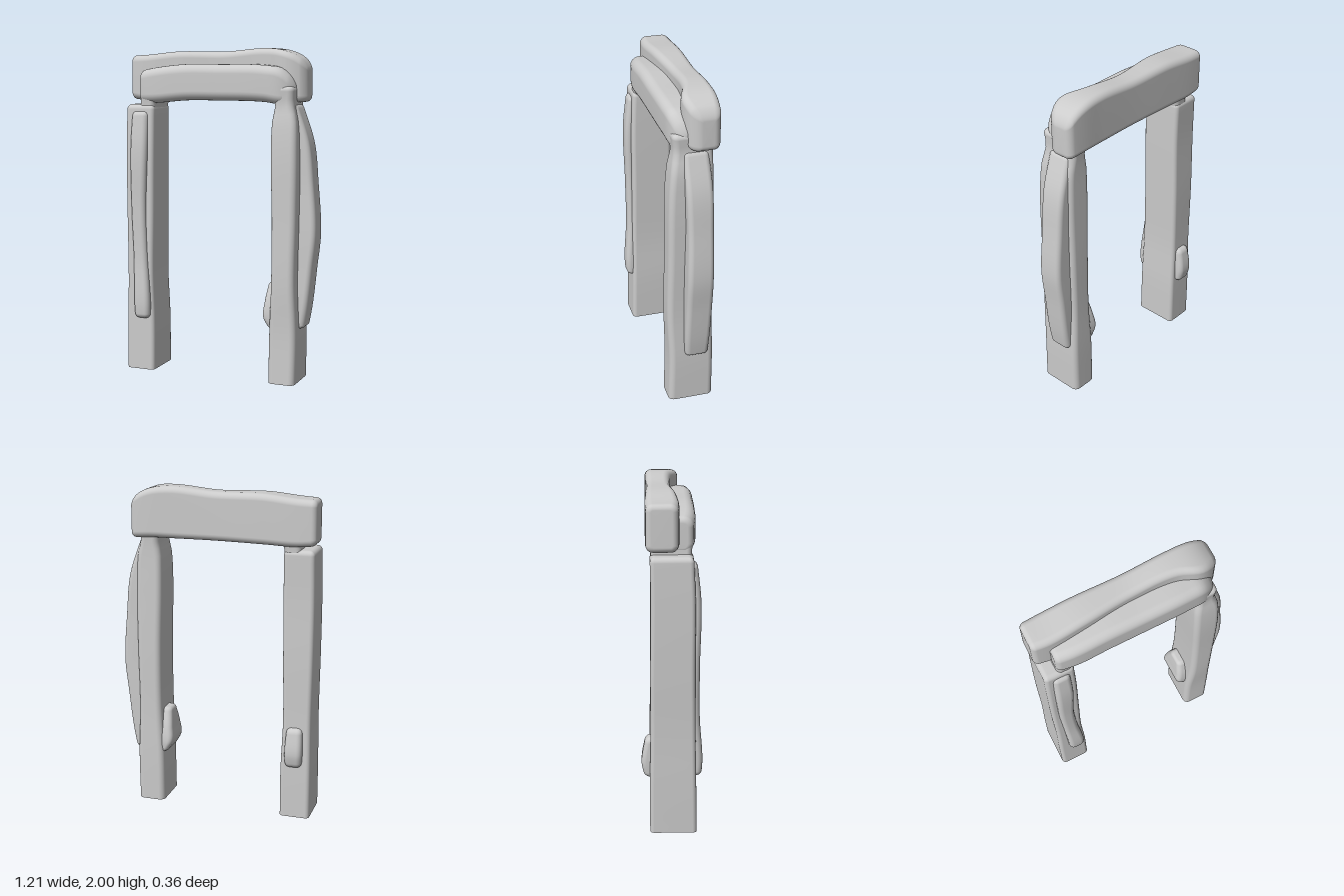
import * as THREE from 'three';

const stone = new THREE.MeshStandardMaterial({ color: 0xcccccc, side: THREE.DoubleSide });

// Rounded rectangle outline, counter-clockwise in (a, b)
function outline(a0, a1, b0, b1, radius, steps = 6) {
  const r = Math.min(radius, (a1 - a0) * 0.49, (b1 - b0) * 0.49);
  const corners = [[a1 - r, b1 - r], [a0 + r, b1 - r], [a0 + r, b0 + r], [a1 - r, b0 + r]];
  const pts = [];
  corners.forEach(([ca, cb], k) => {
    for (let s = 0; s <= steps; s++) {
      const t = (k + s / steps) * Math.PI / 2;
      pts.push([ca + r * Math.cos(t), cb + r * Math.sin(t)]);
    }
  });
  return pts;
}

// Smooth loft of rounded rectangles with rounded ends.
// axis 'y': rows are [y, z0, z1, x0, x1]; axis 'x': rows are [x, y0, y1, z0, z1]
function loft(name, axis, rows, { corner = 0.04, start = 0.03, end = 0.03 } = {}) {
  const spline = new THREE.CubicInterpolant(rows.map(r => r[0]), rows.flatMap(r => r.slice(1)), 4);
  const t0 = rows[0][0], t1 = rows[rows.length - 1][0];
  const place = (t, a, b) => (axis === 'y' ? [b, t, a] : [t, a, b]);

  // Stations: dense on the rounded ends, even between them
  const stations = [];
  const body = 40, cap = 6;
  for (let i = 0; i < cap && start; i++) {
    const u = i / cap * Math.PI / 2;
    stations.push([t0 + start * (1 - Math.cos(u)), start * (1 - Math.sin(u))]);
  }
  for (let i = 0; i <= body; i++) {
    stations.push([t0 + start + (t1 - end - t0 - start) * i / body, 0]);
  }
  for (let i = cap - 1; i >= 0 && end; i--) {
    const u = i / cap * Math.PI / 2;
    stations.push([t1 - end * (1 - Math.cos(u)), end * (1 - Math.sin(u))]);
  }

  const pos = [], index = [];
  let n = 0;
  const centres = [];
  for (const [t, inset] of stations) {
    const [a0, a1, b0, b1] = spline.evaluate(t);
    const ring = outline(a0 + inset, a1 - inset, b0 + inset, b1 - inset, Math.max(corner - inset, 0.01));
    n = ring.length;
    ring.forEach(([a, b]) => pos.push(...place(t, a, b)));
    centres.push(place(t, (a0 + a1) / 2, (b0 + b1) / 2));
  }
  const last = stations.length - 1;
  for (let i = 0; i < last; i++) {
    for (let j = 0; j < n; j++) {
      const p = i * n + j, q = i * n + (j + 1) % n;
      index.push(p, q, q + n, p, q + n, p + n);
    }
  }
  // End faces; a zero radius leaves the end open
  const c = pos.length / 3;
  pos.push(...centres[0], ...centres[last]);
  for (let j = 0; j < n; j++) {
    const k = (j + 1) % n;
    if (start) index.push(c, k, j);
    if (end) index.push(c + 1, last * n + j, last * n + k);
  }
  const geo = new THREE.BufferGeometry();
  geo.setAttribute('position', new THREE.Float32BufferAttribute(pos, 3));
  geo.setIndex(index);
  geo.computeVertexNormals();
  const mesh = new THREE.Mesh(geo, stone);
  mesh.name = name;
  return mesh;
}

export function createModel() {
  const model = new THREE.Group();
  model.name = 'stoneArch';

  // Right pillar with its neck, front strip and back knob
  const rightPillar = new THREE.Group();
  rightPillar.name = 'rightPillar';
  rightPillar.add(
    loft('rightShaft', 'y', [
      [0, -0.13, 0.145, -0.60, -0.415],
      [0.3, -0.13, 0.14, -0.60, -0.415],
      [0.6, -0.125, 0.135, -0.597, -0.425],
      [1.0, -0.125, 0.13, -0.602, -0.42],
      [1.4, -0.12, 0.13, -0.602, -0.415],
      [1.66, -0.125, 0.12, -0.598, -0.415],
    ], { corner: 0.025, start: 0, end: 0.03 }),
    loft('rightNeck', 'y', [
      [1.58, -0.12, 0.11, -0.525, -0.417],
      [1.66, -0.12, 0.11, -0.515, -0.414],
      [1.76, -0.13, 0.12, -0.51, -0.38],
    ], { corner: 0.03 }),
    loft('frontStrip', 'y', [
      [0.33, 0.0, 0.172, -0.535, -0.437],
      [0.42, 0.0, 0.178, -0.538, -0.435],
      [0.7, 0.0, 0.16, -0.548, -0.455],
      [1.0, 0.0, 0.158, -0.56, -0.465],
      [1.4, 0.0, 0.163, -0.56, -0.45],
      [1.62, 0.0, 0.14, -0.555, -0.45],
    ], { corner: 0.03 }),
    loft('backKnob', 'y', [
      [0.33, -0.16, 0, -0.55, -0.45],
      [0.42, -0.178, 0, -0.555, -0.448],
      [0.58, -0.155, 0, -0.55, -0.455],
    ], { corner: 0.03 }),
  );

  // Left pillar with its outer slab and inner knob
  const leftPillar = new THREE.Group();
  leftPillar.name = 'leftPillar';
  leftPillar.add(
    loft('leftShaft', 'y', [
      [0, -0.13, 0.145, 0.34, 0.507],
      [0.3, -0.13, 0.14, 0.342, 0.51],
      [0.6, -0.125, 0.15, 0.355, 0.50],
      [1.0, -0.125, 0.145, 0.355, 0.505],
      [1.4, -0.12, 0.14, 0.345, 0.505],
      [1.58, -0.118, 0.125, 0.348, 0.495],
      [1.67, -0.12, 0.11, 0.36, 0.475],
      [1.78, -0.13, 0.12, 0.33, 0.48],
    ], { corner: 0.035, start: 0 }),
    loft('outerSlab', 'y', [
      [0.33, -0.09, 0.05, 0.42, 0.535],
      [0.45, -0.095, 0.055, 0.42, 0.555],
      [0.7, -0.10, 0.055, 0.42, 0.582],
      [0.9, -0.10, 0.055, 0.42, 0.602],
      [1.2, -0.10, 0.05, 0.42, 0.583],
      [1.45, -0.10, 0.055, 0.42, 0.555],
      [1.68, -0.09, 0.06, 0.40, 0.48],
    ], { corner: 0.03, start: 0.02 }),
    loft('innerKnob', 'y', [
      [0.32, -0.11, 0.09, 0.325, 0.43],
      [0.39, -0.115, 0.10, 0.29, 0.43],
      [0.48, -0.10, 0.09, 0.295, 0.43],
      [0.6, -0.06, 0.05, 0.31, 0.43],
    ], { corner: 0.03, start: 0.02, end: 0.02 }),
  );

  // Lintel: tall block behind, lower ledge in front
  const lintel = new THREE.Group();
  lintel.name = 'lintel';
  lintel.add(
    loft('lintelBlock', 'x', [
      [-0.61, 1.69, 1.955, -0.145, 0.03],
      [-0.5, 1.68, 1.96, -0.15, 0.04],
      [-0.3, 1.685, 1.98, -0.15, 0.03],
      [0, 1.69, 1.98, -0.147, 0.0],
      [0.27, 1.69, 2.0, -0.15, 0.01],
      [0.4, 1.69, 1.985, -0.153, 0.05],
      [0.47, 1.685, 1.955, -0.15, 0.035],
      [0.525, 1.68, 1.91, -0.145, 0.0],
    ], { corner: 0.04, start: 0.03, end: 0.04 }),
    loft('frontLedge', 'x', [
      [-0.515, 1.665, 1.865, -0.1, 0.115],
      [-0.4, 1.67, 1.885, -0.1, 0.132],
      [-0.2, 1.688, 1.905, -0.1, 0.135],
      [0, 1.69, 1.905, -0.1, 0.135],
      [0.3, 1.685, 1.9, -0.1, 0.13],
      [0.4, 1.67, 1.88, -0.1, 0.118],
      [0.475, 1.67, 1.81, -0.1, 0.08],
    ], { corner: 0.055, start: 0.03, end: 0.04 }),
  );

  model.add(rightPillar, leftPillar, lintel);
  return model;
}
